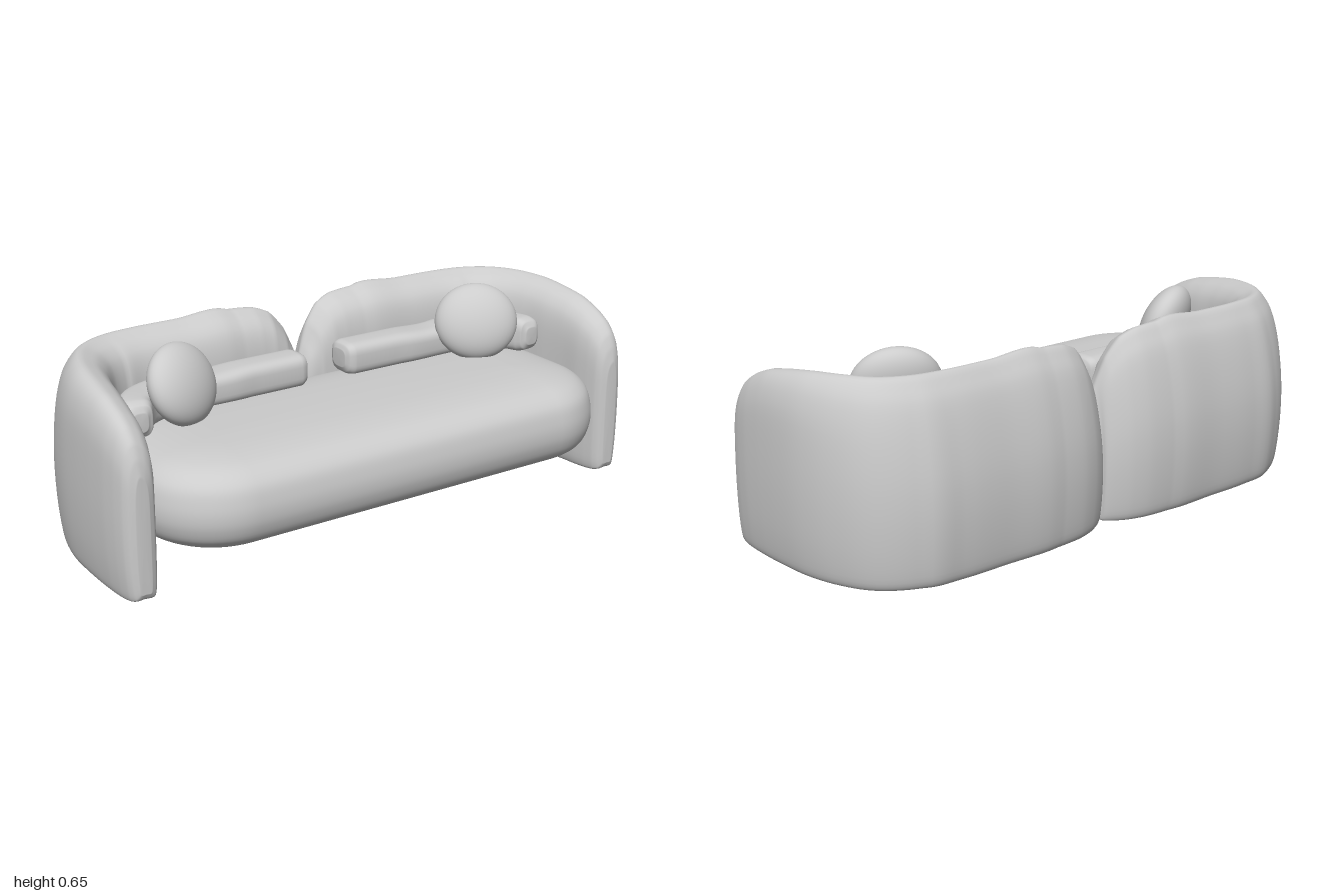
import * as THREE from 'three';

const material = new THREE.MeshStandardMaterial({ color: 0xcccccc });
const V = (x, y, z) => new THREE.Vector3(x, y, z);

// Skin a list of closed rings and close both ends with fans.
function loft(rings) {
  const n = rings[0].length, pos = [], index = [];
  rings.forEach(r => r.forEach(p => pos.push(p.x, p.y, p.z)));
  for (let i = 0; i < rings.length - 1; i++) {
    for (let j = 0; j < n; j++) {
      const a = i * n + j, b = i * n + (j + 1) % n;
      index.push(a, b, b + n, a, b + n, a + n);
    }
  }
  [0, rings.length - 1].forEach((i, end) => {
    const c = rings[i].reduce((s, p) => s.add(p), V(0, 0, 0)).divideScalar(n);
    const ci = pos.length / 3;
    pos.push(c.x, c.y, c.z);
    for (let j = 0; j < n; j++) {
      const a = i * n + j, b = i * n + (j + 1) % n;
      if (end) index.push(ci, a, b); else index.push(ci, b, a);
    }
  });
  const g = new THREE.BufferGeometry();
  g.setAttribute('position', new THREE.Float32BufferAttribute(pos, 3));
  g.setIndex(index);
  g.computeVertexNormals();
  return g;
}

// Sweep a section along plan stations [x, z, halfWidth, top, bottom].
// section(t) gives points with u in -1..1 (outward) and v in 0..1 (up).
function sweep(stations, section, steps) {
  const path = new THREE.CatmullRomCurve3(stations.map(s => V(s[0], 0, s[1])));
  const size = new THREE.CatmullRomCurve3(stations.map(s => V(s[2], s[3], s[4])));
  const rings = [];
  for (let i = 0; i <= steps; i++) {
    const t = i / steps, c = path.getPoint(t), d = path.getTangent(t), s = size.getPoint(t);
    rings.push(section(t).map(p => V(
      c.x + d.z * p.x * s.x, s.z + p.y * (s.y - s.z), c.z - d.x * p.x * s.x)));
  }
  return loft(rings);
}

function mirrorX(geometry) {
  const g = geometry.clone().scale(-1, 1, 1), a = g.index.array;
  for (let i = 0; i < a.length; i += 3) [a[i], a[i + 1]] = [a[i + 1], a[i]];
  return g;
}

const closed = pts => new THREE.CatmullRomCurve3(pts.map(p => V(p[0], p[1], 0)), true).getPoints(64).slice(0, 64);

// Wall sections: the back leans in towards its crest, the arm is more upright.
const inner = [[-0.25, 0.985], [-0.6, 0.95], [-0.87, 0.88], [-0.98, 0.78], [-1, 0.6],
  [-0.98, 0.3], [-0.93, 0.08], [-0.85, 0.02], [-0.74, 0]];
const backSection = closed([[0, 0], [0.66, 0], [0.79, 0.015], [0.88, 0.06], [0.97, 0.2], [1, 0.36],
  [0.95, 0.52], [0.77, 0.71], [0.52, 0.87], [0.27, 0.95], [0.05, 1], ...inner]);
const armSection = closed([[0, 0], [0.62, 0], [0.75, 0.015], [0.84, 0.06], [0.95, 0.2], [1, 0.4],
  [0.98, 0.6], [0.9, 0.8], [0.75, 0.9], [0.5, 0.97], [0.15, 1], ...inner]);
const wallSection = t => {
  const k = THREE.MathUtils.smoothstep(t, 0.4, 0.7);
  return backSection.map((p, i) => p.clone().lerp(armSection[i], k));
};

// Half of the wraparound: centre split, back, corner, arm, rounded front end
const wallStations = [
  [0, -0.29, 0.04, 0.42, 0.012], [0.02, -0.293, 0.062, 0.475, 0.005], [0.05, -0.302, 0.08, 0.545, 0.002],
  [0.1, -0.315, 0.097, 0.605, 0], [0.16, -0.326, 0.106, 0.628, 0], [0.25, -0.33, 0.11, 0.635, 0],
  [0.45, -0.33, 0.11, 0.635, 0], [0.62, -0.327, 0.11, 0.635, 0], [0.73, -0.307, 0.11, 0.635, 0],
  [0.815, -0.255, 0.108, 0.635, 0], [0.868, -0.17, 0.1, 0.635, 0], [0.898, -0.07, 0.094, 0.63, 0],
  [0.91, 0.03, 0.088, 0.617, 0], [0.917, 0.12, 0.08, 0.6, 0], [0.919, 0.2, 0.073, 0.57, 0],
  [0.92, 0.25, 0.064, 0.54, 0], [0.92, 0.285, 0.054, 0.5, 0.003], [0.92, 0.303, 0.042, 0.455, 0.01],
  [0.92, 0.314, 0.022, 0.4, 0.03]];

// Bolster following the inside of the wall
const bolsterStations = [
  [0.076, -0.145, 0.035, 0.485, 0.425], [0.086, -0.145, 0.055, 0.503, 0.405], [0.11, -0.145, 0.065, 0.51, 0.395],
  [0.3, -0.145, 0.066, 0.51, 0.395], [0.5, -0.145, 0.066, 0.51, 0.395], [0.61, -0.135, 0.066, 0.512, 0.395],
  [0.7, -0.098, 0.063, 0.515, 0.395], [0.752, -0.045, 0.058, 0.518, 0.395], [0.77, 0, 0.053, 0.518, 0.395],
  [0.776, 0.03, 0.044, 0.508, 0.405], [0.777, 0.044, 0.024, 0.485, 0.425]];
const bolsterSection = Array.from({ length: 40 }, (_, i) => {
  const a = i / 40 * Math.PI * 2, c = Math.cos(a), s = Math.sin(a);
  return V(Math.sign(c) * Math.abs(c) ** 0.6, 0.5 + 0.5 * Math.sign(s) * Math.abs(s) ** 0.6, 0);
});

// Rounded plan outline of the seat, pulled in by an inset
function seatRing(inset, y) {
  const r = Math.max(0.28 - inset, 0.02), hx = 0.87 - inset - r, hz = 0.36 - inset - r, ring = [];
  [[1, -1], [-1, -1], [-1, 1], [1, 1]].forEach(([sx, sz], q) => {
    for (let i = 0; i <= 14; i++) {
      const a = (q + i / 14) * Math.PI / 2;
      ring.push(V(sx * hx + r * Math.cos(a), y, 0.078 + sz * hz - r * Math.sin(a)));
    }
  });
  return ring;
}
const seatProfile = new THREE.CatmullRomCurve3([[0.3, 0.11], [0.2, 0.11], [0.125, 0.115], [0.07, 0.133],
  [0.025, 0.165], [0.005, 0.21], [0, 0.25], [0.004, 0.29], [0.018, 0.335], [0.045, 0.365], [0.08, 0.384],
  [0.13, 0.397], [0.2, 0.406], [0.3, 0.41]].map(p => V(p[0], p[1], 0)));

export function createModel() {
  const group = new THREE.Group();
  const add = (name, geometry) => {
    const mesh = new THREE.Mesh(geometry, material);
    mesh.name = name;
    group.add(mesh);
    return mesh;
  };

  add('seat', loft(seatProfile.getPoints(52).map(p => seatRing(p.x, p.y))));

  const wall = sweep(wallStations, wallSection, 108);
  const bolster = sweep(bolsterStations, () => bolsterSection, 60);
  add('leftBackAndArm', wall);
  add('rightBackAndArm', mirrorX(wall));
  add('leftBolster', bolster);
  add('rightBolster', mirrorX(bolster));

  // Round scatter cushions, leaning back and turned to the middle
  const cushion = new THREE.SphereGeometry(1, 40, 28).scale(0.147, 0.135, 0.073);
  for (const side of [1, -1]) {
    const mesh = add(side > 0 ? 'leftCushion' : 'rightCushion', cushion);
    mesh.position.set(side * 0.588, 0.522, -0.04);
    mesh.rotation.set(-0.4, -side * 0.47, 0, 'YXZ');
  }
  return group;
}
